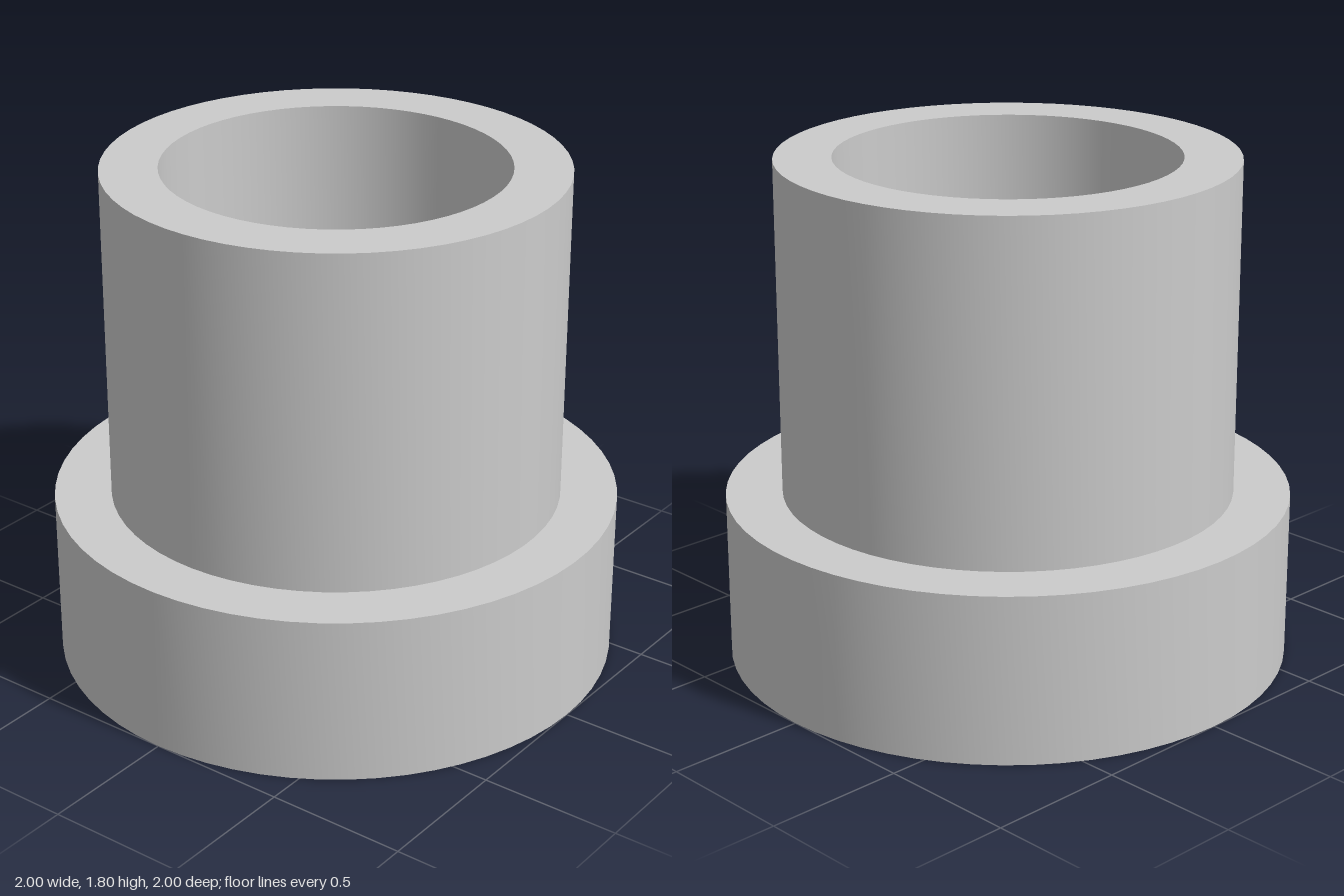
import * as THREE from 'three';
import { toCreasedNormals } from 'three/addons/utils/BufferGeometryUtils.js';

const BORE = 0.6, SLEEVE = 0.8, FLANGE = 1; // radii
const FLANGE_TOP = 0.6, HEIGHT = 1.8;

export function createModel() {
  const group = new THREE.Group();
  group.name = 'flangedBushing';

  // Closed wall section: underside, flange, step, sleeve, rim, bore
  const profile = [
    [BORE, 0], [FLANGE, 0], [FLANGE, FLANGE_TOP], [SLEEVE, FLANGE_TOP],
    [SLEEVE, HEIGHT], [BORE, HEIGHT], [BORE, 0],
  ].map(([r, y]) => new THREE.Vector2(r, y));

  // Smooth round walls with sharp rims
  const geometry = toCreasedNormals(new THREE.LatheGeometry(profile, 64), Math.PI / 6);
  const body = new THREE.Mesh(geometry, new THREE.MeshStandardMaterial({ color: 0xcccccc }));
  body.name = 'bushingBody';
  group.add(body);

  return group;
}
